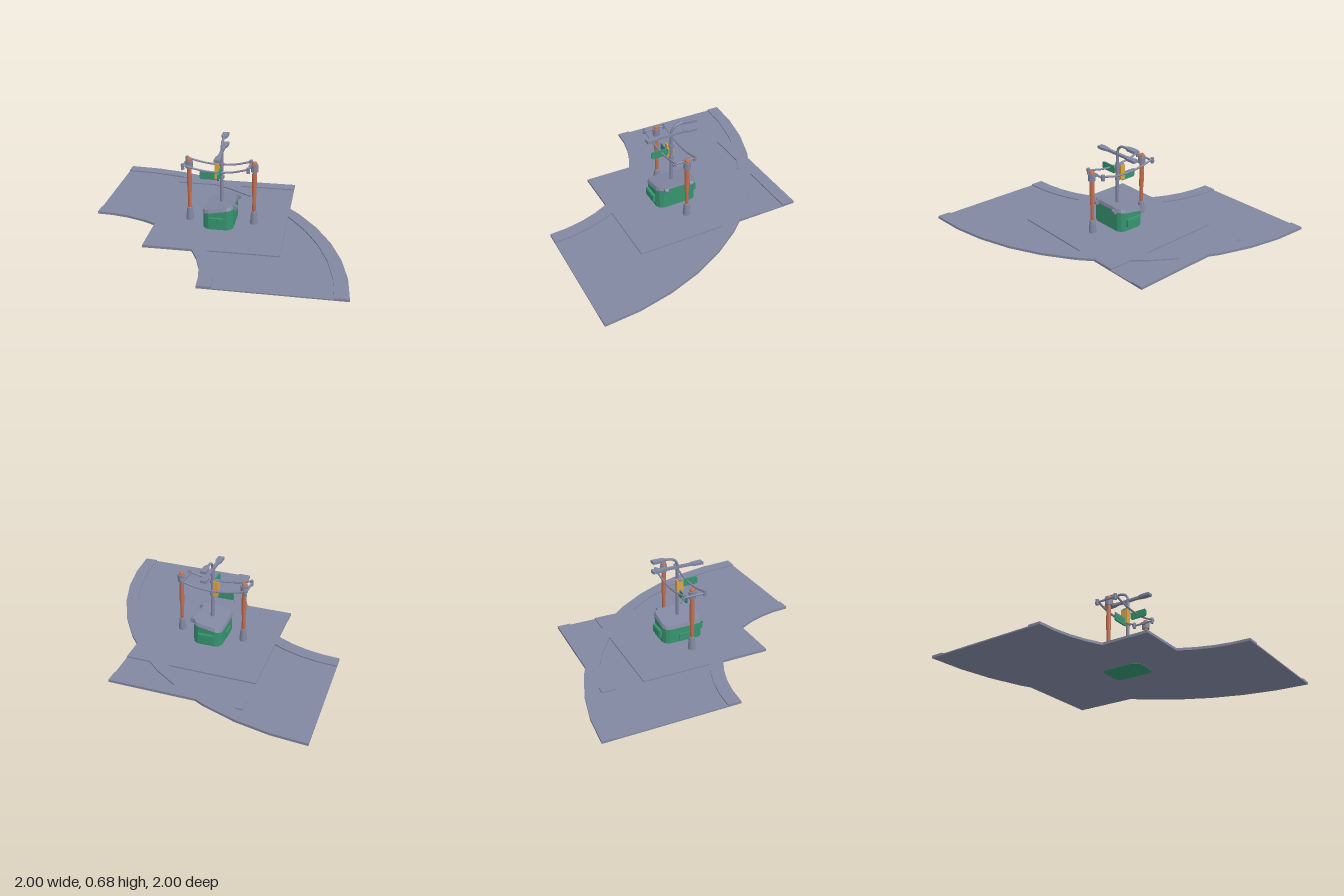
import * as THREE from 'three';

const mat = (name, color) => {
  const m = new THREE.MeshStandardMaterial({ color });
  m.name = name;
  return m;
};

export function createModel() {
  const model = new THREE.Group();
  model.name = 'roadCorner';
  const grey = mat('grey', 0x8288a2);
  const green = mat('green', 0x379470);
  const orange = mat('orange', 0xc6704f);
  const yellow = mat('yellow', 0xdba645);

  const add = (name, geo, material, x = 0, y = 0, z = 0) => {
    const mesh = new THREE.Mesh(geo, material);
    mesh.name = name;
    mesh.position.set(x, y, z);
    model.add(mesh);
    return mesh;
  };
  const box = (name, m, w, h, d, x, y, z) => add(name, new THREE.BoxGeometry(w, h, d), m, x, y, z);
  // Upright extrusion of a plan outline given as [x, z]
  const slab = (points, y0, y1) => {
    const shape = new THREE.Shape(points.map(([x, z]) => new THREE.Vector2(x, -z)));
    const geo = new THREE.ExtrudeGeometry(shape, { depth: y1 - y0, bevelEnabled: false });
    return geo.rotateX(-Math.PI / 2).translate(0, y0, 0);
  };
  const tube = (points, r, sides = 8) =>
    new THREE.TubeGeometry(new THREE.CatmullRomCurve3(points.map(p => new THREE.Vector3(...p))), 16, r, sides);

  // Curved road: quarter ring around (-1, 1)
  const bottom = 0.002, low = 0.011, high = 0.021;
  const ring = (r0, r1) => {
    const arc = r => Array.from({ length: 13 }, (_, i) => {
      const a = i * Math.PI / 24;
      return [-1 + r * Math.cos(a), 1 - r * Math.sin(a)];
    });
    return [...arc(r1), ...arc(r0).reverse()];
  };
  add('road', slab(ring(1.1, 1.9), bottom, low), grey);
  add('innerKerb', slab(ring(1, 1.1), bottom, high), grey);
  add('outerKerb', slab(ring(1.9, 2), bottom, high), grey);

  // Square pavement and the straight lane behind it
  const plate = (name, z0, z1, top) =>
    box(name, grey, 1, top - bottom, z1 - z0, 0, (top + bottom) / 2, (z0 + z1) / 2);
  plate('pavement', -0.5, 0.5, high);
  plate('backLane', -0.71, -0.5, low);
  plate('backKerb', -0.81, -0.71, high);

  // Bin: chamfered plan with a sloping top
  const plan = (x0, x1, z, c) => [
    [x0, -z + c], [x0, z - c], [x0 + c * 0.35, z - c * 0.35], [x0 + c, z], [x1 - c, z], [x1 - c * 0.35, z - c * 0.35],
    [x1, z - c], [x1, -z + c], [x1 - c * 0.35, -z + c * 0.35], [x1 - c, -z], [x0 + c, -z], [x0 + c * 0.35, -z + c * 0.35]];
  const slope = x => 0.165 + 0.18 * x;
  const sloped = (points, y0, y1, inset = 1) => {
    const geo = slab(points, 0, 1);
    const p = geo.attributes.position;
    for (let i = 0; i < p.count; i++) {
      const x = p.getX(i), top = p.getY(i) > 0.5;
      const y = top ? slope(x) + y1 : y0 === null ? 0 : slope(x) + y0;
      const k = top ? inset : 1;
      p.setXYZ(i, x * k, y, p.getZ(i) * k);
    }
    geo.computeVertexNormals();
    return geo;
  };
  add('binBody', sloped(plan(-0.12, 0.108, 0.163, 0.045), null, 0), green);
  add('binLid', sloped(plan(-0.125, 0.112, 0.167, 0.045), 0, 0.025, 0.94), grey);
  box('binLatch', green, 0.015, 0.05, 0.09, -0.124, 0.065, 0);
  for (const s of [-1, 1]) {
    box('binHandle', green, 0.125, 0.06, 0.024, -0.008, 0.09, s * 0.172);
    box('binHandleGrip', green, 0.09, 0.04, 0.006, -0.008, 0.09, s * 0.184);
    const hinge = add('lidHinge', new THREE.CylinderGeometry(0.018, 0.018, 0.03, 8), grey, 0.122, 0.189, s * 0.105);
    hinge.rotation.x = Math.PI / 2;
    const strap = box('hingeStrap', grey, 0.05, 0.012, 0.03, 0.09, 0.202, s * 0.105);
    strap.rotation.z = 0.18;
  }

  // Central pole with a bent upper arm
  add('pole', new THREE.CylinderGeometry(0.013, 0.014, 0.41, 10), grey, 0, 0.385, 0);
  add('poleCollar', new THREE.CylinderGeometry(0.02, 0.02, 0.02, 10), grey, 0, 0.39, 0);
  add('poleCollar', new THREE.CylinderGeometry(0.02, 0.02, 0.02, 10), grey, 0, 0.49, 0);
  const bend = new THREE.CurvePath();
  const v = (y, z) => new THREE.Vector3(0, y, z);
  bend.add(new THREE.QuadraticBezierCurve3(v(0.59, 0), v(0.667, 0), v(0.667, -0.09)));
  bend.add(new THREE.LineCurve3(v(0.667, -0.09), v(0.667, -0.14)));
  add('upperArm', new THREE.TubeGeometry(bend, 20, 0.01, 8), grey);

  // Flat lamp heads that widen towards their ends
  const head = s => [[-0.012, s * 0.1], [0.012, s * 0.1], [0.024, s * 0.135], [0.024, s * 0.205],
    [-0.024, s * 0.205], [-0.024, s * 0.135]];
  box('lowerArm', grey, 0.024, 0.018, 0.24, 0, 0.59, 0);
  for (const s of [-1, 1]) add('lampHead', slab(s > 0 ? head(s).reverse() : head(s), 0.58, 0.6), grey);
  add('upperLampHead', slab(head(-1), 0.657, 0.677), grey);

  // Orange posts with grey feet and collars
  const postProfile = [[0, 0.11], [0.014, 0.11], [0.014, 0.24], [0.018, 0.25], [0.018, 0.45],
    [0.02, 0.5], [0.02, 0.515], [0.013, 0.525], [0, 0.525]];
  const footProfile = [[0.03, 0.02], [0.029, 0.04], [0.022, 0.115], [0.018, 0.122], [0, 0.122]];
  const lathe = pts => new THREE.LatheGeometry(pts.map(p => new THREE.Vector2(...p)), 10);
  for (const s of [-1, 1]) {
    add('post', lathe(postProfile), orange, s * 0.25, 0, 0);
    add('postFoot', lathe(footProfile), grey, s * 0.25, 0, 0);
    add('postCollar', new THREE.CylinderGeometry(0.029, 0.029, 0.055, 10), grey, s * 0.25, 0.475, 0);
  }

  // Sagging twin rails joined by cross rods
  for (const s of [-1, 1]) {
    const z = s * 0.083;
    add('rail', tube([[-0.295, 0.502, z], [-0.2, 0.475, z], [-0.1, 0.459, z], [0, 0.455, z],
      [0.1, 0.465, z], [0.225, 0.497, z]], 0.008), grey);
    for (const x of [-0.283, 0.213])
      add('railKnob', new THREE.CylinderGeometry(0.013, 0.013, 0.045, 8), grey, x, 0.485, z);
  }
  for (const x of [-0.283, 0.213]) {
    const rod = add('crossRod', new THREE.CylinderGeometry(0.008, 0.008, 0.2, 8), grey, x, 0.483, 0);
    rod.rotation.x = Math.PI / 2;
  }
  box('collarLink', grey, 0.04, 0.02, 0.03, 0.225, 0.483, 0);

  // Yellow signal box
  box('signalBox', yellow, 0.038, 0.12, 0.055, -0.032, 0.44, 0);
  box('signalCap', grey, 0.045, 0.012, 0.03, -0.03, 0.498, 0);

  // Two green plates set at right angles, with rounded corners
  const w = 0.07, h = 0.029, c = 0.01;
  const outline = new THREE.Shape([[-w + c, -h], [w - c, -h], [w, -h + c], [w, h - c], [w - c, h],
    [-w + c, h], [-w, h - c], [-w, -h + c]].map(p => new THREE.Vector2(...p)));
  const signGeo = new THREE.ExtrudeGeometry(outline, { depth: 0.012, bevelEnabled: false }).translate(0, 0, -0.006);
  add('sidePlate', signGeo, green, -0.1, 0.39, 0);
  add('frontPlate', signGeo, green, 0, 0.449, 0.097).rotation.y = Math.PI / 2;
  box('sidePlateRail', grey, 0.12, 0.006, 0.014, -0.11, 0.421, 0);

  return model;
}
